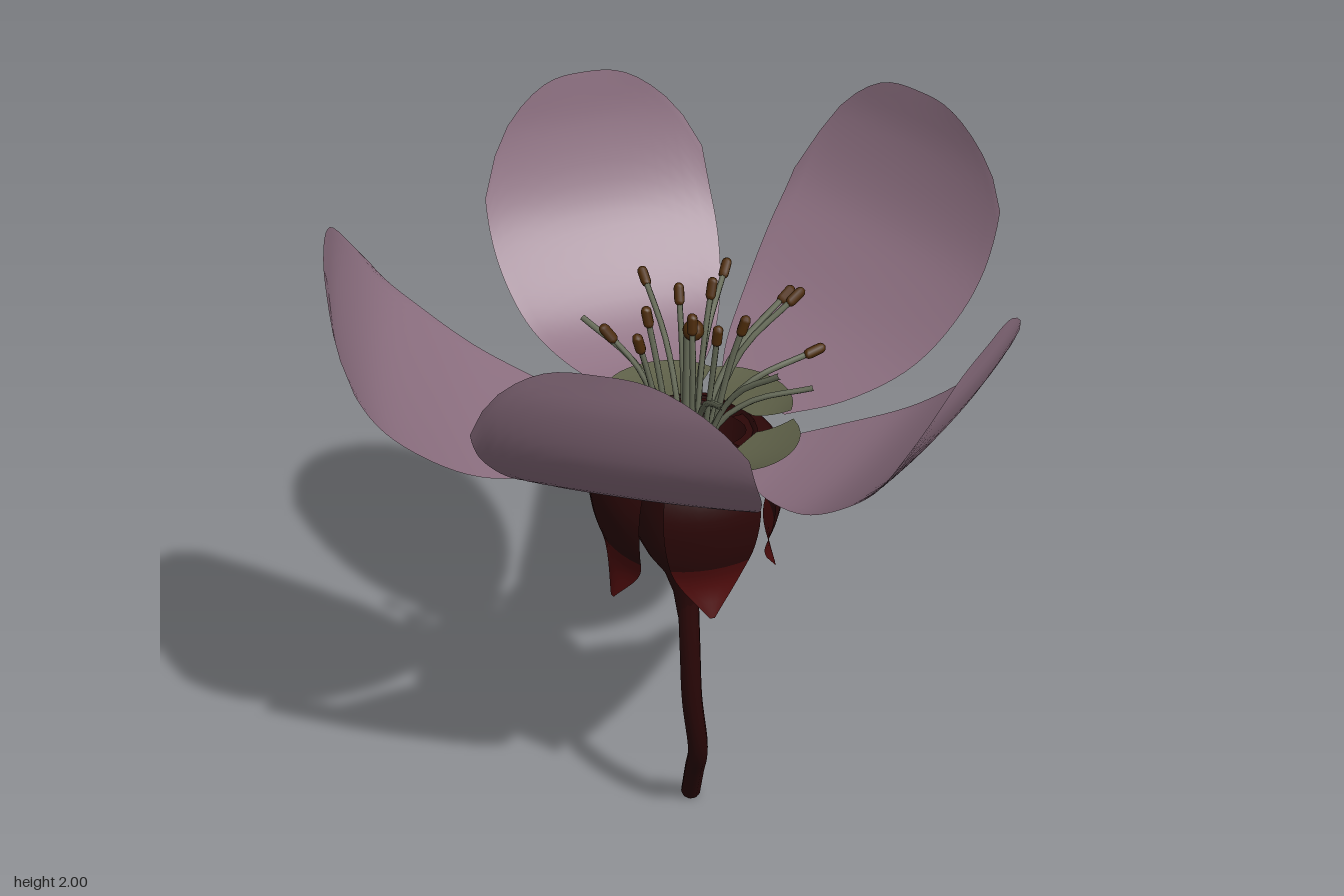
import * as THREE from 'three';

const V = (x, y, z) => new THREE.Vector3(x, y, z);

function material(name, color, open) {
  const m = new THREE.MeshStandardMaterial({ color });
  m.name = name;
  if (open) m.side = THREE.DoubleSide;
  return m;
}

// Smooth grid sheet: fn(u, w) with u in u0..u1 along and w in -1..1 across
function sheet(fn, nu, nw, u0 = 0, u1 = 1) {
  const pos = [], index = [];
  for (let i = 0; i <= nu; i++) {
    for (let j = 0; j <= nw; j++) {
      pos.push(...fn(u0 + (u1 - u0) * i / nu, j / nw * 2 - 1));
      if (i < nu && j < nw) {
        const a = i * (nw + 1) + j, b = a + nw + 1;
        index.push(a, a + 1, b, b, a + 1, b + 1);
      }
    }
  }
  const g = new THREE.BufferGeometry();
  g.setAttribute('position', new THREE.Float32BufferAttribute(pos, 3));
  g.setIndex(index);
  g.computeVertexNormals();
  return g;
}

// Midline curve holding (radius, height, half width)
const profile = (rows) => new THREE.CatmullRomCurve3(rows.map((r) => V(...r)));

// Place radius r, height y and sideways offset s around the vertical axis
function around(deg, r, y, s) {
  const a = deg * Math.PI / 180, c = Math.cos(a), n = Math.sin(a);
  return [c * r - n * s, y, n * r + c * s];
}

export function createModel() {
  const model = new THREE.Group();
  model.name = 'flower';
  const petalMat = material('dusty pink', 0x8d7081, true);
  const baseMat = material('olive green', 0x5d5f47, true);
  const filamentMat = material('grey green', 0x666b58);
  const antherMat = material('brown', 0x4c2b0a);
  const stemMat = material('dark red', 0x2b0707, true);
  const tipMat = material('red', 0x4e0c0c, true);

  const add = (name, geometry, mat, parent = model) => {
    const mesh = new THREE.Mesh(geometry, mat);
    mesh.name = name;
    parent.add(mesh);
    return mesh;
  };

  // Curved stem with a closed foot
  const stemPath = new THREE.CatmullRomCurve3([
    V(0.098, 0.018, -0.267), V(0.075, 0.18, -0.165), V(0.053, 0.33, -0.07),
    V(0.016, 0.55, -0.01), V(0.004, 0.72, 0.01), V(0, 0.9, 0.005),
  ]);
  add('stem', new THREE.TubeGeometry(stemPath, 24, 0.027, 10), stemMat);
  const foot = add('stemFoot', new THREE.CircleGeometry(0.027, 10), stemMat);
  foot.position.copy(stemPath.getPoint(0));
  foot.lookAt(foot.position.clone().sub(stemPath.getTangent(0)));

  // Cup below the petals, hollow at the top
  const cup = [[0.024, 0.82], [0.036, 0.9], [0.06, 0.97], [0.1, 1.03], [0.138, 1.11], [0.157, 1.22],
    [0.165, 1.33], [0.168, 1.37], [0.155, 1.37], [0.125, 1.27], [0.06, 1.21], [0.001, 1.2]];
  add('cup', new THREE.LatheGeometry(cup.map((p) => new THREE.Vector2(...p)), 24), stemMat);

  // Drooping sepals between the petals, with lighter tips
  const sepalLine = profile([[0.14, 1.372, 0.06], [0.205, 1.355, 0.1], [0.238, 1.26, 0.12],
    [0.226, 1.15, 0.11], [0.2, 1.06, 0.08], [0.218, 0.965, 0.006]]);
  [92, 18, -60, -126, 166].forEach((deg, k) => {
    const sepal = new THREE.Group();
    sepal.name = 'sepal';
    model.add(sepal);
    const fn = (u, w) => {
      const p = sepalLine.getPoint(u);
      return around(deg, p.x - 0.035 * w * w * (1 - u * u), p.y + (k % 2) * 0.015 * u, p.z * w);
    };
    add('sepalBlade', sheet(fn, 14, 6, 0, 0.7), stemMat, sepal);
    add('sepalTip', sheet(fn, 7, 6, 0.7, 1), tipMat, sepal);
  });

  // Broad petals: shared profile as fractions of reach and rise, plus half width
  const petalLine = profile([[0, 0, 0.11], [0.2, 0.04, 0.2], [0.46, 0.14, 0.28],
    [0.68, 0.31, 0.32], [0.85, 0.5, 0.325], [0.965, 0.78, 0.305], [1, 1, 0.26]]);
  const petals = [
    { deg: -92, reach: 0.71, top: 2.0, width: 0.9, tilt: 0.02, lift: 0, shift: -0.015 },
    { deg: -25, reach: 0.795, top: 1.995, width: 1.02, tilt: 0.05, lift: 0, shift: -0.03 },
    { deg: 193, reach: 0.83, top: 1.89, width: 1.02, tilt: -0.03, lift: 0.02, shift: 0 },
    { deg: 122, reach: 0.71, top: 1.93, width: 0.97, tilt: -0.02, lift: 0, shift: 0.02 },
    { deg: 51, reach: 0.765, top: 1.84, width: 0.89, tilt: 0.02, lift: -0.045, shift: -0.02 },
  ];
  for (const { deg, reach, top, width, tilt, lift, shift } of petals) {
    const petalPoint = (u, w) => {
      const t = u * (1 - 0.28 * Math.abs(w) ** 3 + tilt * w ** 3 * Math.abs(w));
      const p = petalLine.getPoint(t);
      const r = 0.215 + (reach - 0.215) * p.x - 0.015 * w * w * t;
      const y = 1.375 + (top - 1.375) * p.y + lift * w * t + 0.02 * w * w * t;
      return around(deg, r, y, p.z * width * w + shift * t);
    };
    add('petal', sheet(petalPoint, 24, 18), petalMat);

    // Rounded green pad lying on the foot of each petal
    add('petalBase', sheet((u, w) => around(deg, 0.15 + 0.135 * u * Math.sqrt(1 - 0.8 * w * w),
      1.38 + 0.022 * u * u, w * (0.07 + 0.07 * u)), 6, 14), baseMat);
  }

  // Stamens: [direction, reach, tip height, has an anther]
  const stamens = [
    [-92, 0.31, 1.63, 1], [-55, 0.31, 1.65, 1], [-29, 0.35, 1.6, 1], [-10, 0.29, 1.66, 1],
    [5, 0.31, 1.55, 1], [28, 0.3, 1.52, 0], [50, 0.25, 1.6, 0], [94, 0.33, 1.63, 0],
    [118, 0.35, 1.63, 0], [136, 0.28, 1.55, 0], [165, 0.28, 1.57, 1], [207, 0.19, 1.62, 1],
    [233, 0.31, 1.58, 0], [-50, 0.15, 1.68, 1], [-125, 0.12, 1.64, 1], [70, 0.11, 1.68, 1],
    [100, 0.07, 1.7, 1], [20, 0.13, 1.66, 1], [180, 0.12, 1.63, 1], [-80, 0.15, 1.66, 1],
  ];
  const antherGeo = new THREE.CapsuleGeometry(0.013, 0.03, 3, 8);
  for (const [deg, reach, top, hasAnther] of stamens) {
    const at = (r, y) => V(...around(deg, r, y, 0));
    const path = new THREE.CatmullRomCurve3([at(0.05, 1.21), at(0.065, 1.38),
      at(0.06 + reach * 0.3, 1.38 + (top - 1.38) * 0.62), at(reach, top)]);
    const stamen = new THREE.Group();
    stamen.name = 'stamen';
    model.add(stamen);
    add('filament', new THREE.TubeGeometry(path, 12, 0.0075, 6), filamentMat, stamen);
    if (!hasAnther) continue;
    const anther = add('anther', antherGeo, antherMat, stamen);
    anther.position.copy(path.getPoint(1));
    anther.quaternion.setFromUnitVectors(V(0, 1, 0), path.getTangent(1));
  }

  // Central pistil
  const pistil = [[0.001, 1.2], [0.05, 1.21], [0.055, 1.27], [0.04, 1.34], [0.014, 1.39], [0.011, 1.64]];
  add('pistil', new THREE.LatheGeometry(pistil.map((p) => new THREE.Vector2(...p)), 14), filamentMat);
  const stigma = add('stigma', new THREE.SphereGeometry(0.026, 12, 8), antherMat);
  stigma.position.set(0.01, 1.65, 0.01);

  return model;
}
